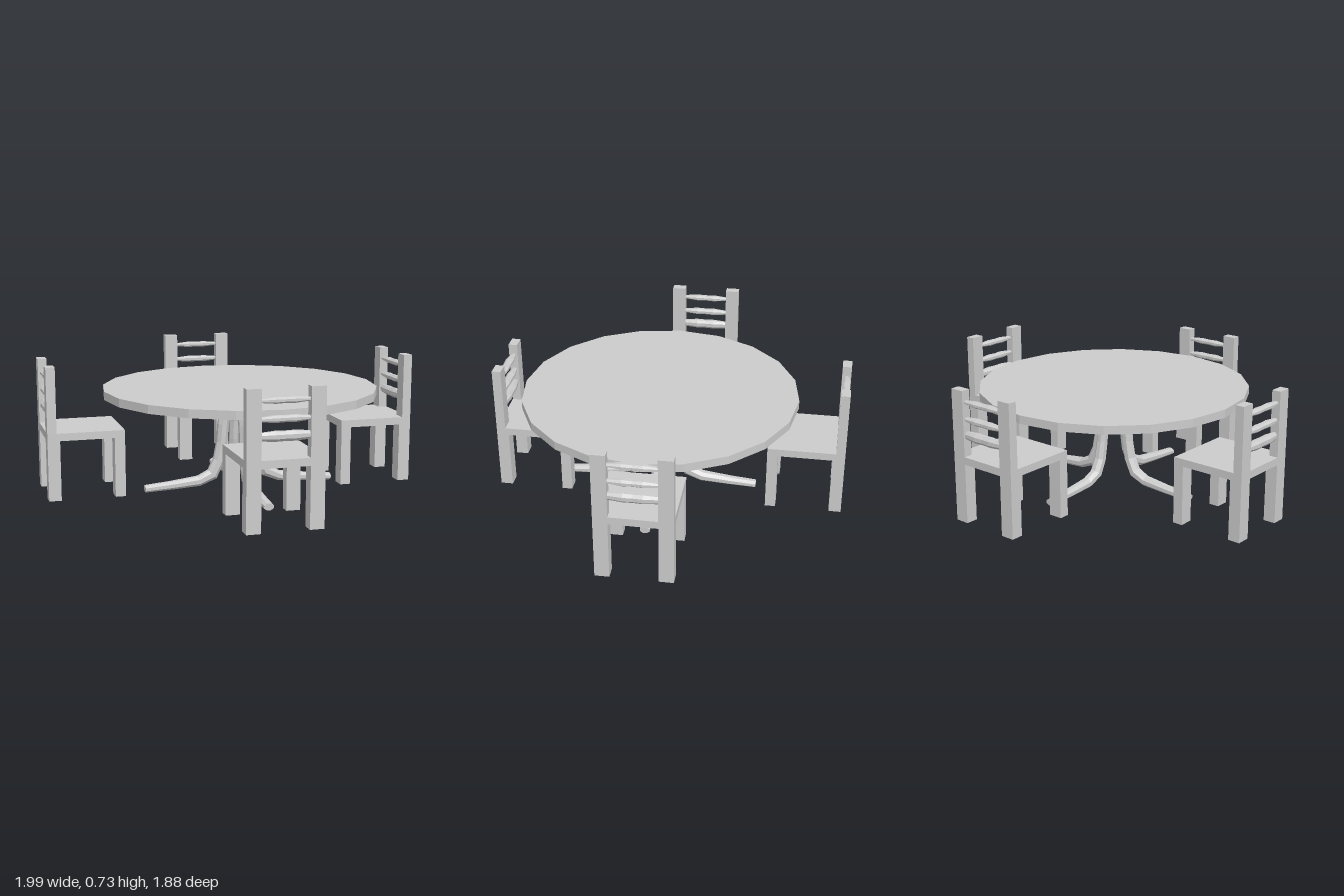
import * as THREE from 'three';

const material = new THREE.MeshStandardMaterial({ color: 0xcccccc, flatShading: true });

function mesh(name, geometry, parent, x = 0, y = 0, z = 0) {
  const m = new THREE.Mesh(geometry, material);
  m.name = name;
  m.position.set(x, y, z);
  parent.add(m);
  return m;
}

// Box given by its centre in x and its extents in y and z
function block(name, parent, x, width, y0, y1, z0, z1) {
  const geometry = new THREE.BoxGeometry(width, y1 - y0, z1 - z0);
  return mesh(name, geometry, parent, x, (y0 + y1) / 2, (z0 + z1) / 2);
}

// Capped bar following a path in the xy plane.
// Each station: [x, y, half thickness in the plane, half width along z]
function loft(stations, sides) {
  const positions = [], index = [];
  stations.forEach(([x, y, h, w], i) => {
    const a = stations[Math.max(i - 1, 0)];
    const b = stations[Math.min(i + 1, stations.length - 1)];
    const length = Math.hypot(b[0] - a[0], b[1] - a[1]);
    const nx = -(b[1] - a[1]) / length, ny = (b[0] - a[0]) / length;
    for (let s = 0; s < sides; s++) {
      const t = ((s + 0.5) / sides) * Math.PI * 2;
      const u = Math.cos(t) * h;
      positions.push(x + nx * u, y + ny * u, Math.sin(t) * w);
    }
  });
  for (let i = 0; i < stations.length - 1; i++) {
    for (let s = 0; s < sides; s++) {
      const a = i * sides + s, b = i * sides + (s + 1) % sides;
      index.push(a, b, a + sides, b, b + sides, a + sides);
    }
  }
  const last = (stations.length - 1) * sides;
  for (let s = 1; s < sides - 1; s++) {
    index.push(0, s + 1, s, last, last + s, last + s + 1);
  }
  const geometry = new THREE.BufferGeometry();
  geometry.setAttribute('position', new THREE.Float32BufferAttribute(positions, 3));
  geometry.setIndex(index);
  const flat = geometry.toNonIndexed();
  flat.computeVertexNormals();
  return flat;
}

// Turned back slat: narrow ends, two swellings and a slight waist
function slat(halfHeight, halfDepth, endHeight) {
  const profile = [[-0.13, 0], [-0.085, 0.55], [-0.05, 1], [0, 0.75], [0.05, 1], [0.085, 0.55], [0.13, 0]];
  return loft(profile.map(([x, k]) => [
    x, 0,
    THREE.MathUtils.lerp(endHeight, halfHeight, k),
    THREE.MathUtils.lerp(halfDepth * 0.6, halfDepth, k),
  ]), 8);
}

// Chair facing +z, with the back of its posts on z = 0
function createChair(name) {
  const chair = new THREE.Group();
  chair.name = name;
  block('seat', chair, 0, 0.397, 0.317, 0.357, 0, 0.405);
  for (const side of [-1, 1]) {
    const x = side * 0.161;
    block('backLeg', chair, x, 0.075, 0, 0.32, 0, 0.065);
    block('backPost', chair, x, 0.075, 0.32, 0.702, 0, 0.048);
    block('frontLeg', chair, x, 0.075, 0, 0.32, 0.35, 0.405);
  }
  mesh('topSlat', slat(0.017, 0.024, 0.009), chair, 0, 0.64, 0.024);
  mesh('middleSlat', slat(0.019, 0.024, 0.011), chair, 0, 0.55, 0.024);
  mesh('bottomSlat', slat(0.027, 0.027, 0.021), chair, 0, 0.467, 0.024);
  return chair;
}

function createTable() {
  const table = new THREE.Group();
  table.name = 'table';
  mesh('tableTop', new THREE.CylinderGeometry(0.742, 0.742, 0.045, 20), table, 0, 0.547, 0);

  // Four legs arch out from the middle, drop and sweep into long feet
  const path = [
    [0, 0.483, 0.03, 0.03], [0.04, 0.478, 0.032, 0.032], [0.075, 0.44, 0.033, 0.033],
    [0.092, 0.36, 0.032, 0.032], [0.1, 0.26, 0.031, 0.031], [0.118, 0.16, 0.033, 0.032],
    [0.155, 0.085, 0.035, 0.033], [0.23, 0.052, 0.029, 0.033], [0.38, 0.038, 0.024, 0.03],
    [0.53, 0.028, 0.02, 0.028],
  ];
  const legGeometry = loft(path, 8);
  for (let i = 0; i < 4; i++) {
    mesh('pedestalLeg', legGeometry, table).rotation.y = i * Math.PI / 2;
  }
  return table;
}

export function createModel() {
  const model = new THREE.Group();
  model.name = 'diningSet';

  const table = createTable();
  table.position.set(0.06, 0, 0.06);
  model.add(table);

  // name, x, y, z, turn
  const places = [
    ['frontChair', 0.03, 0, 0.938, Math.PI],
    ['backChair', 0.07, 0.03, -0.943, 0],
    ['rightChair', -0.996, 0.02, -0.048, Math.PI / 2],
    ['leftChair', 0.992, 0.022, 0.042, -Math.PI / 2],
  ];
  for (const [name, x, y, z, turn] of places) {
    const chair = createChair(name);
    chair.position.set(x, y, z);
    chair.rotation.y = turn;
    model.add(chair);
  }
  return model;
}
